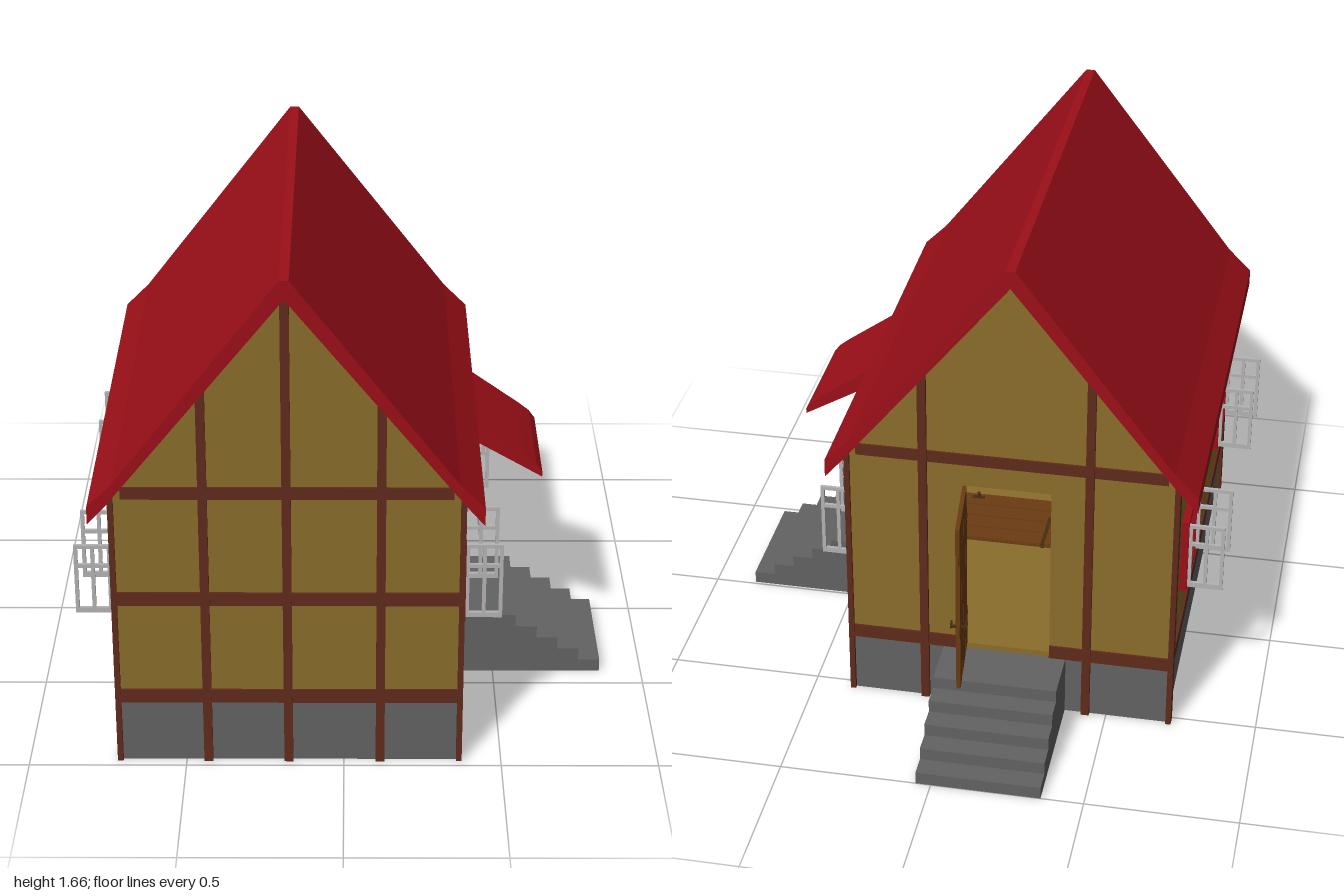
import * as THREE from 'three';

const mat = (color, side = THREE.FrontSide) => new THREE.MeshStandardMaterial({ color, side, flatShading: true });
const M = {
  roof: mat(0x9c0f18), plaster: mat(0x8a6d2a), timber: mat(0x602a1c),
  stone: mat(0x636363), door: mat(0x6b3c12), sash: mat(0xb4b4b4), handle: mat(0x4a2c10),
};

function add(parent, name, geo, material) {
  const m = new THREE.Mesh(geo, material);
  m.name = name;
  parent.add(m);
  return m;
}

// Box given by its extents
function box(parent, name, material, x0, x1, y0, y1, z0, z1) {
  const m = add(parent, name, new THREE.BoxGeometry(x1 - x0, y1 - y0, z1 - z0), material);
  m.position.set((x0 + x1) / 2, (y0 + y1) / 2, (z0 + z1) / 2);
  return m;
}

const polygon = (pts) => new THREE.Shape(pts.map(([x, y]) => new THREE.Vector2(x, y)));
const rect = (x0, x1, y0, y1) => polygon([[x0, y0], [x1, y0], [x1, y1], [x0, y1]]);

function extrude(shape, depth, holes = []) {
  shape.holes.push(...holes);
  return new THREE.ExtrudeGeometry(shape, { depth, bevelEnabled: false });
}

// House body limits
const X0 = -0.71, X1 = 0.365, Z0 = -0.53, Z1 = 0.965, XC = -0.175;
const BASE = 0.215, EAVE = 0.935, WALL = 0.025;
const roofY = (x) => 1.605 - Math.abs(x - XC) * 1.238;
const windowZ = [-0.235, 0.668], windowY = 0.557;

// Plank door, hinged on its local y axis
function makeDoor(name, w, h) {
  const g = new THREE.Group();
  g.name = name;
  box(g, 'doorCore', M.door, 0, w, 0, h, -0.004, 0.004);
  const n = 4, pw = w / n;
  for (let i = 0; i < n; i++) box(g, 'doorPlank', M.door, i * pw + 0.002, (i + 1) * pw - 0.002, 0, h, -0.007, 0.007);
  for (const y of [0.12, 0.5]) box(g, 'doorHinge', M.handle, 0, w * 0.6, y, y + 0.012, -0.009, 0.009);
  box(g, 'lockPlate', M.handle, w - 0.033, w - 0.019, 0.205, 0.25, -0.01, 0.01);
  box(g, 'handleSpindle', M.handle, w - 0.03, w - 0.022, 0.225, 0.233, -0.027, 0.027);
  for (const s of [-1, 1]) box(g, 'doorHandle', M.handle, w - 0.052, w - 0.02, 0.224, 0.234, s * 0.025 - 0.003, s * 0.025 + 0.003);
  return g;
}

// Window frame with two casements swung straight out; s = outward x direction
function makeWindow(x, z, s, w, h) {
  const g = new THREE.Group();
  g.name = 'window';
  const frame = extrude(rect(-w / 2, w / 2, -h / 2, h / 2), 0.04,
    [rect(-w / 2 + 0.019, w / 2 - 0.019, -h / 2 + 0.015, h / 2 - 0.015)]);
  frame.translate(0, 0, -0.024);
  add(g, 'windowFrame', frame, M.roof);
  const leafH = h - 0.025, leafW = 0.118, b = 0.012, top = leafH / 2;
  const midX = leafW / 2, cross = top - 0.075;
  const panes = [];
  for (const [a, c] of [[b, midX - b / 2], [midX + b / 2, leafW - b]]) {
    panes.push(rect(a, c, -top + 0.018, cross - b / 2), rect(a, c, cross + b / 2, top - b));
  }
  const leaf = extrude(rect(0, leafW, -top, top), 0.011, panes);
  leaf.translate(0.015, 0, -0.0055);
  leaf.rotateY(-Math.PI / 2);
  for (const e of [-1, 1]) add(g, 'casement', leaf, M.sash).position.x = e * (w / 2 - 0.013);
  g.rotation.y = s * Math.PI / 2;
  g.position.set(x, windowY, z);
  return g;
}

// Stair flight profile running out from u0, top landing to u1
function stairs(u0, u1, width) {
  const pts = [[u0, 0], [u0, BASE]];
  for (let i = 0; i < 5; i++) {
    const u = u1 + i * 0.0715, y = BASE * (1 - i / 5);
    pts.push([u, y], [u, y - BASE / 5]);
  }
  return extrude(polygon(pts.reverse()), width);
}

export function createModel() {
  const house = new THREE.Group();
  house.name = 'house';

  // Foundation, stairs and floor
  box(house, 'foundation', M.stone, X0 + 0.005, X1 - 0.003, 0, BASE, Z0 + 0.003, Z1 - 0.003);
  add(house, 'sideStairs', stairs(0.3, 0.574, 0.41), M.stone).position.z = 0.01;
  const back = add(house, 'backStairs', stairs(0.5, 0.714, 0.41), M.stone);
  back.rotation.y = Math.PI / 2;
  back.position.x = -0.36;
  box(house, 'floor', M.plaster, X0 + 0.02, X1 - 0.01, BASE, 0.235, Z0 + 0.01, Z1 - 0.02);

  // Gable walls, the back one with a doorway
  const gable = () => polygon([[X0, BASE], [X1, BASE], [X1, EAVE], [XC, 1.61], [X0, EAVE]]);
  add(house, 'frontWall', extrude(gable(), WALL), M.plaster).position.z = Z1 - WALL;
  add(house, 'backWall', extrude(gable(), WALL, [rect(-0.305, -0.02, 0.235, 0.855)]), M.plaster).position.z = Z0;

  // Long walls with window openings; the right-hand (+x) one has a doorway
  for (const s of [-1, 1]) {
    const w = s > 0 ? 0.28 : 0.257, h = s > 0 ? 0.285 : 0.267;
    const holes = windowZ.map((z) => rect(z - w / 2 + 0.01, z + w / 2 - 0.01, windowY - h / 2 + 0.01, windowY + h / 2 - 0.01));
    if (s > 0) holes.push(rect(0.07, 0.365, 0.235, 0.86));
    const geo = extrude(rect(Z0, Z1, BASE, EAVE), WALL, holes);
    geo.rotateY(-Math.PI / 2);
    add(house, 'sideWall', geo, M.plaster).position.x = s > 0 ? X1 : X0 + WALL;
    for (const z of windowZ) house.add(makeWindow(s > 0 ? X1 + 0.004 : X0 - 0.009, z, s, w, h));
  }

  // Corner posts
  for (const [x0, x1] of [[-0.72, -0.702], [0.357, 0.375]]) {
    box(house, 'cornerPost', M.timber, x0, x1, 0, EAVE, 0.935, 0.975);
    box(house, 'cornerPost', M.timber, x0, x1, 0, EAVE, -0.54, -0.5);
  }

  // Gable posts
  for (const x of [-0.43, XC, 0.115]) {
    box(house, 'frontPost', M.timber, x - 0.014, x + 0.014, 0, roofY(x) + 0.01, 0.93, 0.977);
    if (x !== XC) box(house, 'backPost', M.timber, x - 0.014, x + 0.014, 0, roofY(x) + 0.01, -0.542, -0.495);
  }

  // Horizontal beams
  for (const [y0, y1] of [[BASE, 0.262], [0.565, 0.61], [EAVE, 0.975]]) {
    const inset = y0 === EAVE ? 0.03 : 0.003;
    box(house, 'frontBeam', M.timber, X0 + inset, X1 - inset, y0, y1, 0.935, 0.972);
  }
  box(house, 'backBeam', M.timber, X0 + 0.03, X1 - 0.03, EAVE, 0.975, -0.537, -0.5);
  box(house, 'backSill', M.timber, X0, -0.305, BASE, 0.262, -0.537, -0.5);
  box(house, 'backSill', M.timber, -0.02, X1, BASE, 0.262, -0.537, -0.5);
  box(house, 'leftSill', M.timber, -0.717, -0.69, BASE, 0.262, -0.5, 0.935);
  box(house, 'rightSill', M.timber, 0.345, 0.372, BASE, 0.262, -0.5, 0.01);
  box(house, 'rightSill', M.timber, 0.345, 0.372, BASE, 0.262, 0.425, 0.935);

  // Side doorway posts, lintel and threshold
  for (const z of [0.01, 0.365]) box(house, 'doorPost', M.timber, 0.335, 0.376, BASE, EAVE, z, z + 0.06);
  box(house, 'doorLintel', M.timber, 0.338, 0.374, 0.855, EAVE, 0.07, 0.365);
  box(house, 'threshold', M.timber, 0.335, 0.374, BASE, 0.238, 0.07, 0.365);

  // Back door standing open, side door lying on the floor inside
  const backDoor = makeDoor('backDoor', 0.26, 0.615);
  backDoor.position.set(-0.022, 0.24, -0.532);
  backDoor.rotation.y = Math.PI / 2 + 0.11;
  house.add(backDoor);
  const sideDoor = makeDoor('sideDoor', 0.285, 0.6);
  sideDoor.setRotationFromMatrix(new THREE.Matrix4().makeBasis(
    new THREE.Vector3(0, 0, 1), new THREE.Vector3(-1, 0, 0), new THREE.Vector3(0, -1, 0)));
  sideDoor.position.set(0.33, 0.244, 0.075);
  house.add(sideDoor);

  // Main roof with flared eaves, and the porch roof running on from it
  const roof = polygon([[-0.78, 0.865], [-0.72, 0.93], [XC, 1.605], [0.37, 0.93], [0.43, 0.86], [0.43, 0.922],
    [0.352, 1.0], [-0.16, 1.665], [-0.19, 1.665], [-0.702, 1.0], [-0.78, 0.922]]);
  add(house, 'roof', extrude(roof, 1.57), M.roof).position.z = -0.57;
  const porch = polygon([[0.37, 0.93], [0.43, 0.86], [0.645, 0.735], [0.645, 0.752], [0.625, 0.78],
    [0.59, 0.808], [0.43, 0.922], [0.36, 0.985]]);
  add(house, 'porchRoof', extrude(porch, 0.41), M.roof).position.z = 0.01;

  return house;
}
